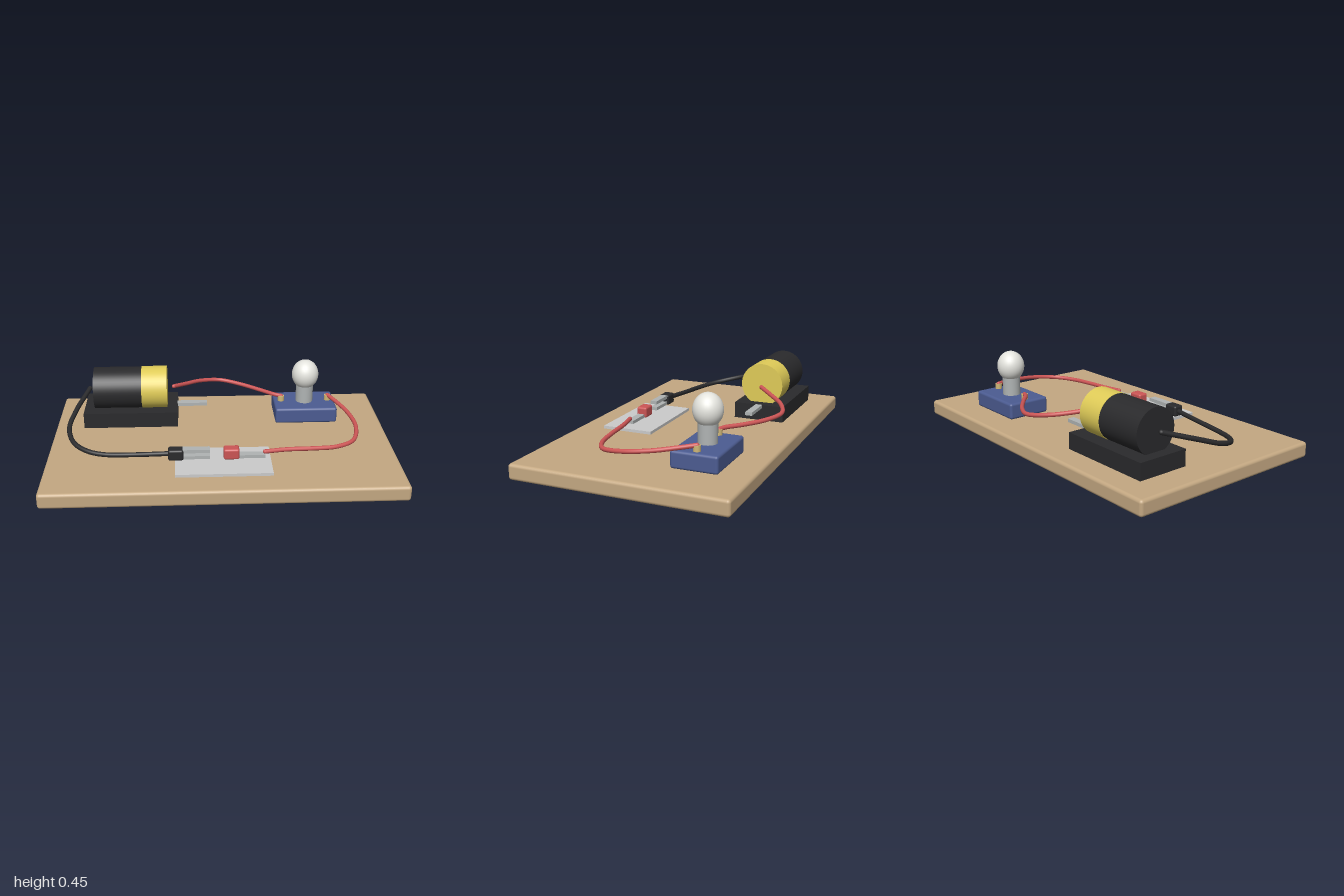
import * as THREE from 'three';
import { RoundedBoxGeometry } from 'three/addons/geometries/RoundedBoxGeometry.js';

const paint = (color) => new THREE.MeshStandardMaterial({ color });
const wood = paint(0xc4a882), black = paint(0x2a2a2c), yellow = paint(0xe0cc58), blue = paint(0x4c5c92);
const red = paint(0xcc5555), grey = paint(0xb0b4b4), paper = paint(0xd8d4d4), glass = paint(0xe4e4de), brass = paint(0xd0b878);

export function createModel() {
  const model = new THREE.Group();

  const add = (parent, name, geometry, material, x = 0, y = 0, z = 0) => {
    const mesh = new THREE.Mesh(geometry, material);
    mesh.name = name;
    mesh.position.set(x, y, z);
    parent.add(mesh);
    return mesh;
  };
  const group = (name) => {
    const g = new THREE.Group();
    g.name = name;
    model.add(g);
    return g;
  };
  // box given by its extents on each axis; a radius rounds the edges
  const box = (parent, name, material, [x0, x1], [y0, y1], [z0, z1], radius = 0) => {
    const size = [x1 - x0, y1 - y0, z1 - z0];
    const geometry = radius ? new RoundedBoxGeometry(...size, 3, radius) : new THREE.BoxGeometry(...size);
    return add(parent, name, geometry, material, (x0 + x1) / 2, (y0 + y1) / 2, (z0 + z1) / 2);
  };
  // wire swept through points, with rounded ends
  const wire = (name, material, radius, points) => {
    const g = group(name);
    const path = points.map((p) => new THREE.Vector3(...p));
    const curve = new THREE.CatmullRomCurve3(path);
    add(g, name + 'Strand', new THREE.TubeGeometry(curve, 64, radius, 12), material);
    for (const end of [path[0], path[path.length - 1]]) {
      add(g, name + 'End', new THREE.SphereGeometry(radius, 12, 8), material, end.x, end.y, end.z);
    }
  };

  // base board and paper card
  box(model, 'baseBoard', wood, [-1, 1], [0, 0.09], [-0.613, 0.613], 0.018);
  box(model, 'paperCard', paper, [-0.27, 0.27], [0.088, 0.107], [0.155, 0.46]);

  // battery lying along x in its holder
  const battery = group('battery');
  box(battery, 'batteryHolder', black, [-0.828, -0.257], [0.085, 0.185], [-0.465, -0.16]);
  const cell = (name, material, radius, x0, x1) => {
    const geometry = new THREE.CylinderGeometry(radius, radius, x1 - x0, 48).rotateZ(Math.PI / 2);
    add(battery, name, geometry, material, (x0 + x1) / 2, 0.294, -0.31);
  };
  cell('batteryBody', black, 0.127, -0.765, -0.33);
  cell('batteryBand', yellow, 0.129, -0.475, -0.32);
  box(battery, 'contactStrip', grey, [-0.26, -0.075], [0.166, 0.186], [-0.335, -0.293]);

  // lamp on its block
  const lamp = group('lamp');
  box(lamp, 'lampBlock', blue, [0.345, 0.725], [0.088, 0.186], [-0.442, -0.178], 0.015);
  add(lamp, 'lampSocket', new THREE.CylinderGeometry(0.053, 0.053, 0.12, 32), grey, 0.535, 0.24, -0.31);
  add(lamp, 'bulb', new THREE.SphereGeometry(0.082, 32, 24), glass, 0.535, 0.363, -0.31).scale.y = 1.12;
  for (const x of [0.39, 0.682]) {
    add(lamp, 'terminal', new THREE.CylinderGeometry(0.02, 0.02, 0.038, 20), brass, x, 0.199, -0.312);
  }

  // crocodile clips
  const blackClip = group('blackClip');
  box(blackClip, 'clipGrip', black, [-0.308, -0.222], [0.124, 0.188], [0.273, 0.337], 0.012);
  box(blackClip, 'upperJaw', grey, [-0.24, -0.075], [0.166, 0.186], [0.284, 0.326]);
  box(blackClip, 'lowerJaw', grey, [-0.24, -0.075], [0.128, 0.147], [0.284, 0.326]);
  const redClip = group('redClip');
  box(redClip, 'clipGrip', red, [0.002, 0.09], [0.124, 0.188], [0.273, 0.337], 0.012);
  box(redClip, 'lowerJaw', grey, [0.07, 0.235], [0.128, 0.147], [0.284, 0.326]);

  // wires
  wire('batteryLampWire', red, 0.0125, [
    [-0.28, 0.29, -0.32], [-0.2, 0.268, -0.41], [-0.11, 0.25, -0.495], [0.015, 0.232, -0.542],
    [0.14, 0.222, -0.495], [0.27, 0.218, -0.4], [0.345, 0.218, -0.335], [0.39, 0.216, -0.312],
  ]);
  wire('lampClipWire', red, 0.0125, [
    [0.682, 0.217, -0.312], [0.73, 0.205, -0.22], [0.775, 0.19, -0.11], [0.797, 0.172, 0.04],
    [0.755, 0.154, 0.185], [0.65, 0.15, 0.25], [0.51, 0.153, 0.272], [0.36, 0.156, 0.283], [0.235, 0.157, 0.305],
  ]);
  wire('batteryClipWire', black, 0.014, [
    [-0.795, 0.295, -0.3], [-0.865, 0.23, -0.1], [-0.888, 0.186, 0.03], [-0.85, 0.155, 0.15],
    [-0.77, 0.14, 0.225], [-0.675, 0.135, 0.262], [-0.5, 0.142, 0.285], [-0.305, 0.155, 0.303],
  ]);

  return model;
}
